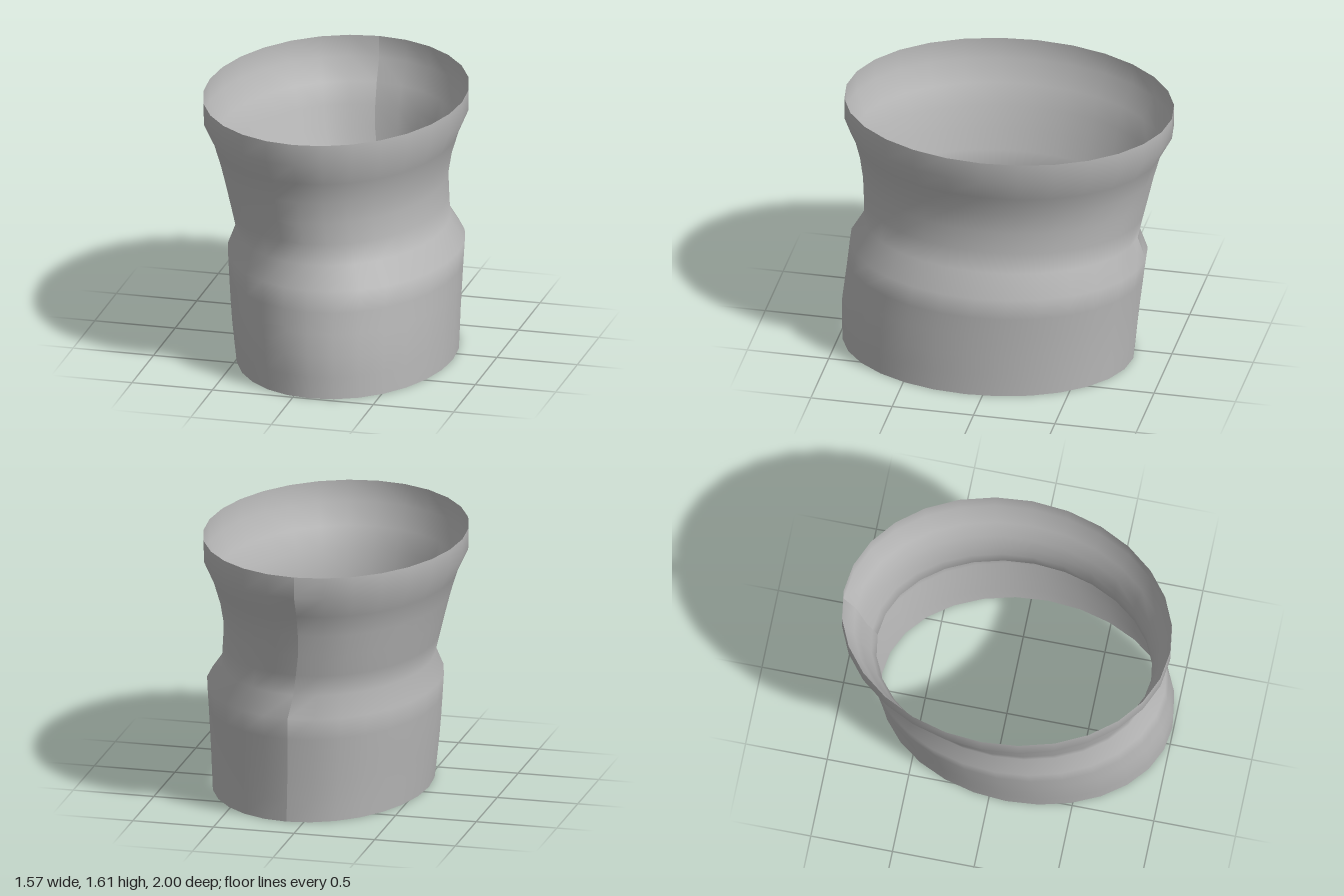
import * as THREE from 'three';

// Cross-sections from top to bottom, evenly spaced: [left edge, right edge, back edge, front edge]
const SECTIONS = [
  [-0.785, 0.785, -1.0, 1.0],
  [-0.782, 0.782, -1.0, 1.0],
  [-0.717, 0.725, -0.928, 0.94],
  [-0.675, 0.685, -0.89, 0.906],
  [-0.64, 0.664, -0.86, 0.886],
  [-0.606, 0.672, -0.83, 0.876],
  [-0.572, 0.683, -0.802, 0.871],
  [-0.622, 0.777, -0.857, 0.952],
  [-0.61, 0.772, -0.84, 0.966],
  [-0.597, 0.768, -0.825, 0.982],
  [-0.582, 0.764, -0.81, 0.998],
  [-0.566, 0.76, -0.797, 0.997],
  [-0.55, 0.755, -0.785, 0.992],
];
const HEIGHT = 1.61;
const SIDES = 28;

export function createModel() {
  const group = new THREE.Group();
  group.name = 'cuff';

  const grey = new THREE.MeshStandardMaterial({ color: 0xbbbbbb, side: THREE.DoubleSide });
  grey.name = 'grey';

  // Open tube with its seam at the back; each ring becomes an offset ellipse
  const rows = SECTIONS.length - 1;
  const geometry = new THREE.CylinderGeometry(1, 1, HEIGHT, SIDES, rows, true, Math.PI);
  geometry.translate(0, HEIGHT / 2, 0);
  const pos = geometry.attributes.position;
  for (let i = 0; i < pos.count; i++) {
    const [left, right, back, front] = SECTIONS[Math.floor(i / (SIDES + 1))];
    pos.setX(i, (left + right) / 2 + pos.getX(i) * (right - left) / 2);
    pos.setZ(i, (back + front) / 2 + pos.getZ(i) * (front - back) / 2);
  }
  geometry.computeVertexNormals();

  const sleeve = new THREE.Mesh(geometry, grey);
  sleeve.name = 'flaredSleeve';
  group.add(sleeve);
  return group;
}
